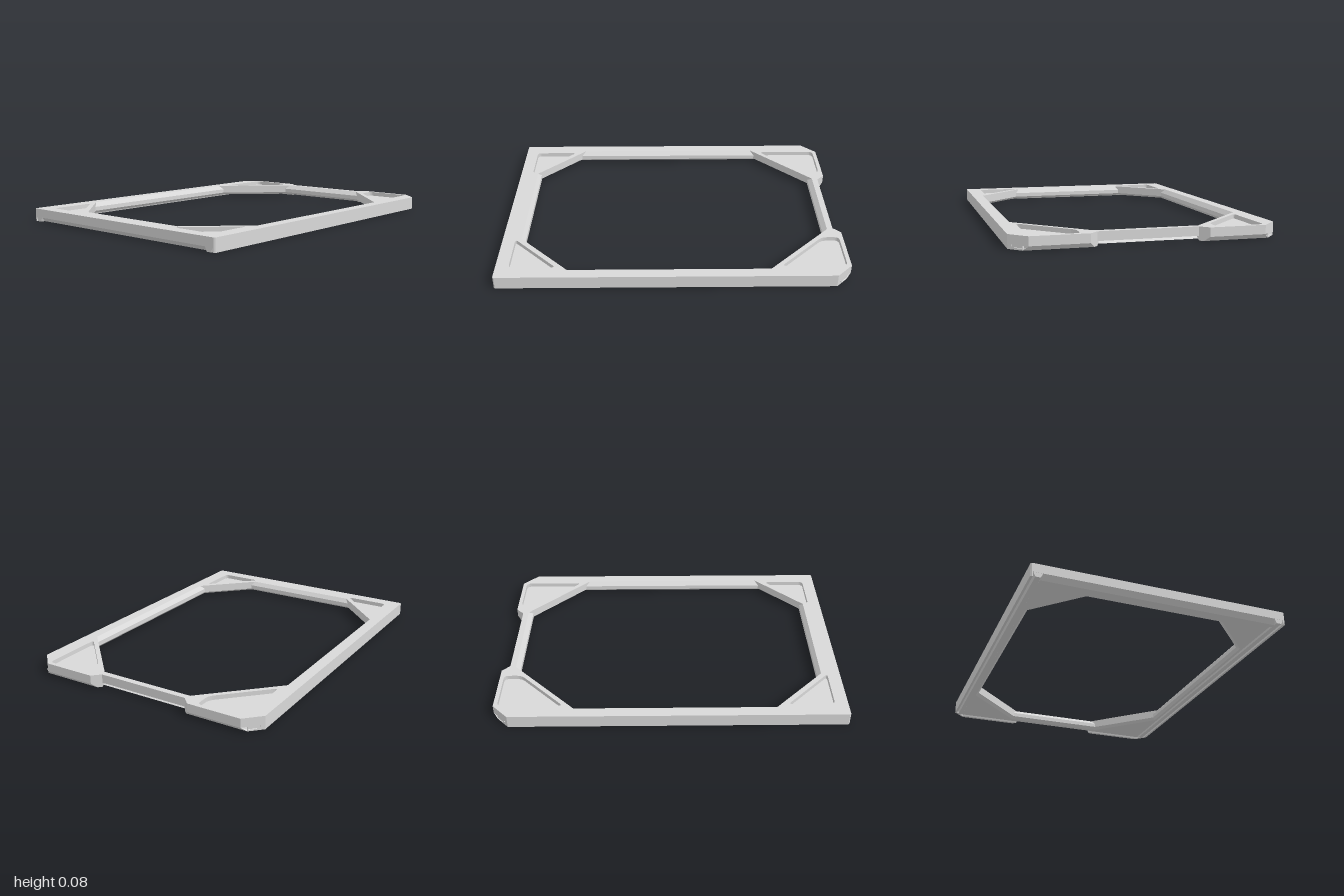
import * as THREE from 'three';

const grey = new THREE.MeshStandardMaterial({ color: 0xd8d8d8 });
grey.name = 'light grey';

// Anticlockwise polygon in plan (x, z) with optional corner radius
function planShape(points, radius = 0, Type = THREE.Shape) {
  const pts = points.map(([x, z]) => new THREE.Vector2(x, -z));
  if (THREE.ShapeUtils.area(pts) < 0) pts.reverse();
  const path = new Type();
  if (!radius) return path.setFromPoints(pts);
  pts.forEach((p, i) => {
    const prev = pts[(i + pts.length - 1) % pts.length];
    const next = pts[(i + 1) % pts.length];
    const a = p.clone().add(prev.clone().sub(p).setLength(radius));
    const b = p.clone().add(next.clone().sub(p).setLength(radius));
    if (i === 0) path.moveTo(a.x, a.y); else path.lineTo(a.x, a.y);
    path.quadraticCurveTo(p.x, p.y, b.x, b.y);
  });
  path.closePath();
  return path;
}

// Flat layer between two heights
function layer(shape, y0, y1) {
  return new THREE.ExtrudeGeometry(shape, { depth: y1 - y0, bevelEnabled: false, curveSegments: 5 })
    .rotateX(-Math.PI / 2).translate(0, y0, 0);
}

// Cross-section of (offset, y) points swept along x or z
function prism(section, axis, from, to) {
  const s = axis === 'x' ? -1 : 1;
  const shape = new THREE.Shape(section.map(([u, y]) => new THREE.Vector2(s * u, y)));
  const geo = new THREE.ExtrudeGeometry(shape, { depth: to - from, bevelEnabled: false });
  geo.translate(0, 0, from);
  return axis === 'x' ? geo.rotateY(Math.PI / 2) : geo;
}

// Move every vertex by a rule
function reshape(geo, rule) {
  const pos = geo.attributes.position;
  for (let i = 0; i < pos.count; i++) {
    pos.setXYZ(i, ...rule(pos.getX(i), pos.getY(i), pos.getZ(i)));
  }
  geo.computeVertexNormals();
  return geo;
}

// Complete a half outline with its mirrored half
const mirror = (half) => [...half, ...half.map(([x, z]) => [-x, z]).reverse()];
const flip = (points, s) => points.map(([x, z]) => [s * x, z]);

export function createModel() {
  const group = new THREE.Group();
  const add = (name, geo) => {
    const mesh = new THREE.Mesh(geo, grey);
    mesh.name = name;
    group.add(mesh);
  };

  const LOW = 0.025, MID = 0.05, TOP = 0.075;
  const outline = mirror([
    [0.275, -0.955], [0.32, -1], [0.635, -1], [0.725, -0.91], [0.725, 0.993], [0.718, 1],
  ]);
  // Eight-sided opening; diagonals stay fixed while the straight edges move
  const opening = (side, front, back) => planShape(mirror([
    [1.205 - back, -back], [side, side - 1.205], [side, 1.255 - side], [1.255 - front, front],
  ].map(([x, z], i) => (i === 0 ? [1.205 - back, -back] : [x, z]))), 0, THREE.Path);

  const backPocket = [[0.635, -0.977], [0.367, -0.977], [0.367, -0.875], [0.635, -0.607]];
  const frontPocket = [[0.635, 0.925], [0.635, 0.662], [0.372, 0.925]];

  // Main frame: lower plate, and upper plate with corner pockets
  const lower = planShape(outline);
  lower.holes.push(opening(0.635, 0.87, 0.895));
  add('lowerFrame', layer(lower, LOW, MID));

  const upper = planShape(outline);
  upper.holes.push(opening(0.659, 0.89, 0.92));
  for (const s of [1, -1]) {
    upper.holes.push(planShape(flip(backPocket, s), 0.03, THREE.Path));
    upper.holes.push(planShape(flip(frontPocket, s), 0.025, THREE.Path));
  }
  add('upperFrame', layer(upper, MID, TOP));

  // Underside panel whose inner edge is chamfered
  const panel = planShape(mirror([
    [0.275, -0.925], [0.3, -0.95], [0.65, -0.95], [0.68, -0.92], [0.68, 0.955],
  ]));
  panel.holes.push(opening(0.635, 0.87, 0.895));
  add('undersidePanel', reshape(layer(panel, 0.01, LOW), (x, y, z) => {
    const k = y < 0.02 ? 1.025 : 1;
    return [x * k, y, z * k];
  }));

  // Sloped inner edges
  const wedge = (inner, outer) => [[inner, MID], [outer, MID], [outer, TOP]];
  add('frontBevel', prism(wedge(0.87, 0.89), 'x', -0.385, 0.385));
  add('backBevel', prism(wedge(-0.895, -0.92), 'x', -0.31, 0.31));

  // Tapered ridges under the rim
  const ridge = (a, b) => [[a, LOW], [b, LOW], [b - 0.011, 0], [a + 0.011, 0]];
  const frontSection = [[0.935, LOW], [0.998, LOW], [0.973, 0], [0.946, 0]];
  add('frontRidge', prism(frontSection, 'x', -0.67, 0.67));

  for (const s of [1, -1]) {
    const side = s > 0 ? 'left' : 'right';
    add(side + 'Bevel', prism(flip(wedge(0.635, 0.659), s), 'z', -0.57, 0.62));
    add(side + 'Ridge', prism(flip(ridge(0.66, 0.71), s), 'z', -0.93, 0.999));

    // Thin outer skirt that turns in at the back corner
    const skirt = flip([
      [0.725, 0.993], [0.718, 1], [0.712, 1], [0.712, -0.905], [0.652, -0.966],
      [0.66, -0.975], [0.725, -0.91],
    ], s);
    add(side + 'Skirt', layer(planShape(skirt), 0, LOW));

    // Back ridge with a chamfered outer edge, ends cut to the outline
    const backSection = [[-1, LOW], [-0.945, LOW], [-0.956, 0], [-0.975, 0]];
    const [x0, x1] = s > 0 ? [0.3, 0.66] : [-0.66, -0.3];
    add(side + 'BackRidge', reshape(prism(backSection, 'x', x0, x1), (x, y, z) => [
      s * (Math.abs(x) > 0.5 ? Math.min(0.66, 1.635 + z) : -0.68 - z), y, z,
    ]));
  }
  return group;
}
